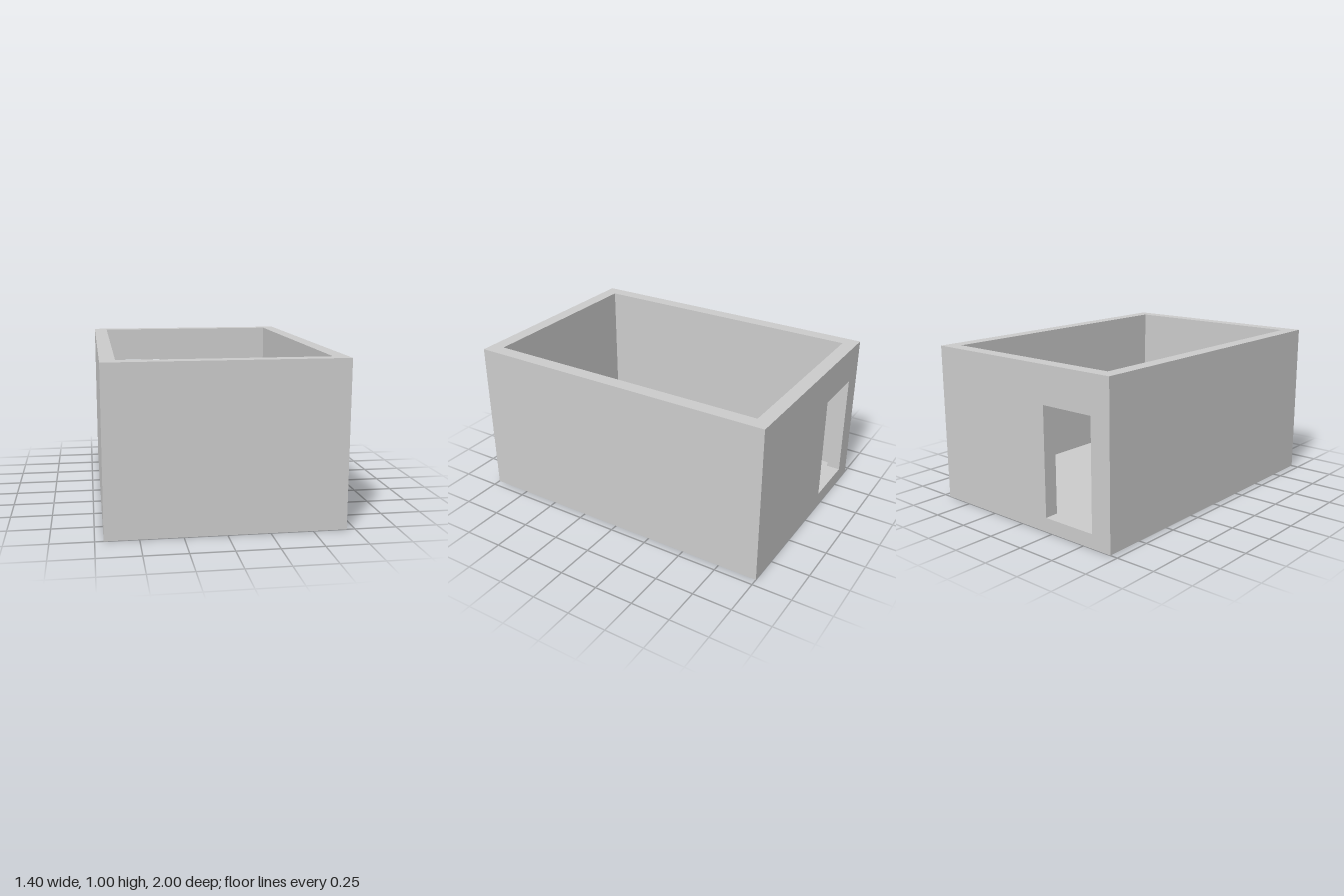
import * as THREE from 'three';

const W = 1.4, H = 1, D = 2; // outer size
const T = 0.088; // thickness of walls and floor
const DOOR = { x0: -0.565, x1: -0.202, top: 0.766 };

export function createModel() {
  const group = new THREE.Group();
  const material = new THREE.MeshStandardMaterial({ color: 0xcccccc, flatShading: true });

  function add(name, geometry, x, y, z) {
    const mesh = new THREE.Mesh(geometry, material);
    mesh.name = name;
    mesh.position.set(x, y, z);
    group.add(mesh);
  }

  const wallH = H - T, wallY = T + wallH / 2;

  // Floor slab, its top flush with the door sill
  add('floor', new THREE.BoxGeometry(W, T, D), 0, T / 2, 0);

  // Long side walls, fitted between the front and back walls
  for (const [name, side] of [['leftWall', 1], ['rightWall', -1]]) {
    add(name, new THREE.BoxGeometry(T, wallH, D - 2 * T), side * (W - T) / 2, wallY, 0);
  }

  // Closed front wall
  add('frontWall', new THREE.BoxGeometry(W, wallH, T), 0, wallY, (D - T) / 2);

  // Back wall with a doorway notched up from the floor
  const outline = new THREE.Shape([
    [-W / 2, T], [DOOR.x0, T], [DOOR.x0, DOOR.top], [DOOR.x1, DOOR.top],
    [DOOR.x1, T], [W / 2, T], [W / 2, H], [-W / 2, H],
  ].map(([x, y]) => new THREE.Vector2(x, y)));
  add('backWall', new THREE.ExtrudeGeometry(outline, { depth: T, bevelEnabled: false }), 0, 0, -D / 2);

  return group;
}
